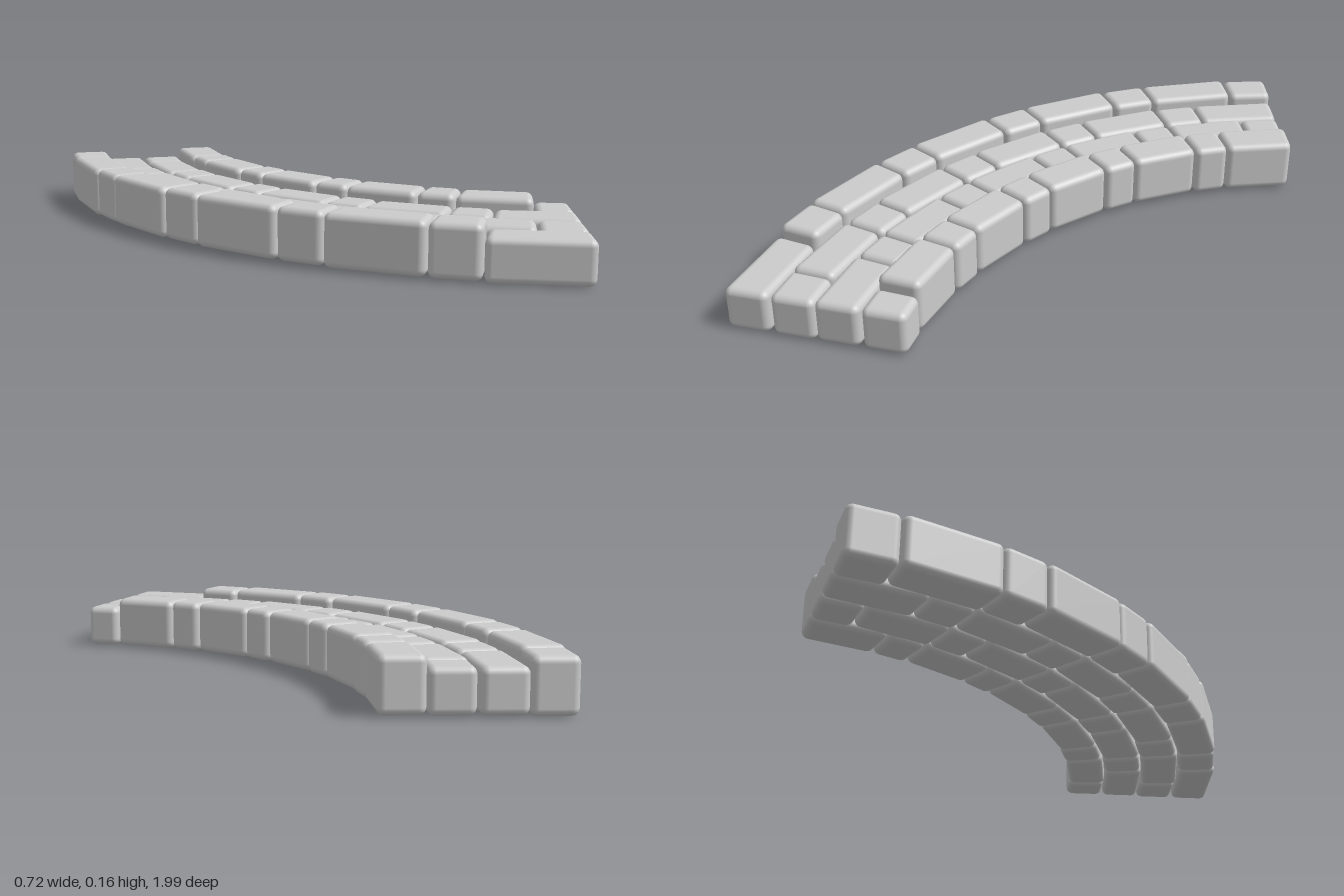
import * as THREE from 'three';
import { RoundedBoxGeometry } from 'three/addons/geometries/RoundedBoxGeometry.js';

const CENTRE_X = 1.3;      // centre of the arc
const OUTER_RADIUS = 1.666;
const ROW_PITCH = 0.124;
const HALF_ANGLE = 37;     // degrees either side of z = 0
const LONG = 9.8, SHORT = 5;
const GAP = 0.003;
const rad = THREE.MathUtils.degToRad;

// A rounded block, tapered so that its ends point at the centre of the arc
function blockGeometry(radius, length, height) {
  const geo = new RoundedBoxGeometry(ROW_PITCH - GAP, height, length, 3, 0.02);
  const p = geo.attributes.position;
  for (let i = 0; i < p.count; i++) {
    p.setZ(i, p.getZ(i) * (radius - p.getX(i)) / radius);
  }
  return geo;
}

export function createModel() {
  const path = new THREE.Group();
  path.name = 'curvedBrickPath';
  const material = new THREE.MeshStandardMaterial({ color: 0xcccccc });
  const rowNames = ['outerKerb', 'outerPaving', 'innerPaving', 'innerKerb'];

  rowNames.forEach((name, row) => {
    const group = new THREE.Group();
    group.name = name;
    const radius = OUTER_RADIUS - (row + 0.5) * ROW_PITCH;
    const isKerb = row === 0 || row === 3;
    let angle = -HALF_ANGLE;

    // Long and short blocks alternate, staggered from row to row
    for (let i = 0; i < 10; i++) {
      const span = (i + row) % 2 === 0 ? SHORT : LONG;
      const mid = rad(angle + span / 2);
      angle += span;

      // Kerbs stand higher, except for the last block at the front end
      const height = isKerb && i < 9 ? 0.15 : 0.122;
      const length = 2 * radius * Math.tan(rad(span / 2)) - GAP;
      const block = new THREE.Mesh(blockGeometry(radius, length, height), material);
      block.name = `${name}Block${i + 1}`;

      // The path is very slightly crowned towards its middle
      const z = radius * Math.sin(mid);
      const lift = 0.01 * (1 - z * z);
      block.position.set(CENTRE_X - radius * Math.cos(mid), height / 2 + lift, z);
      block.rotation.y = mid;
      group.add(block);
    }
    path.add(group);
  });

  return path;
}
